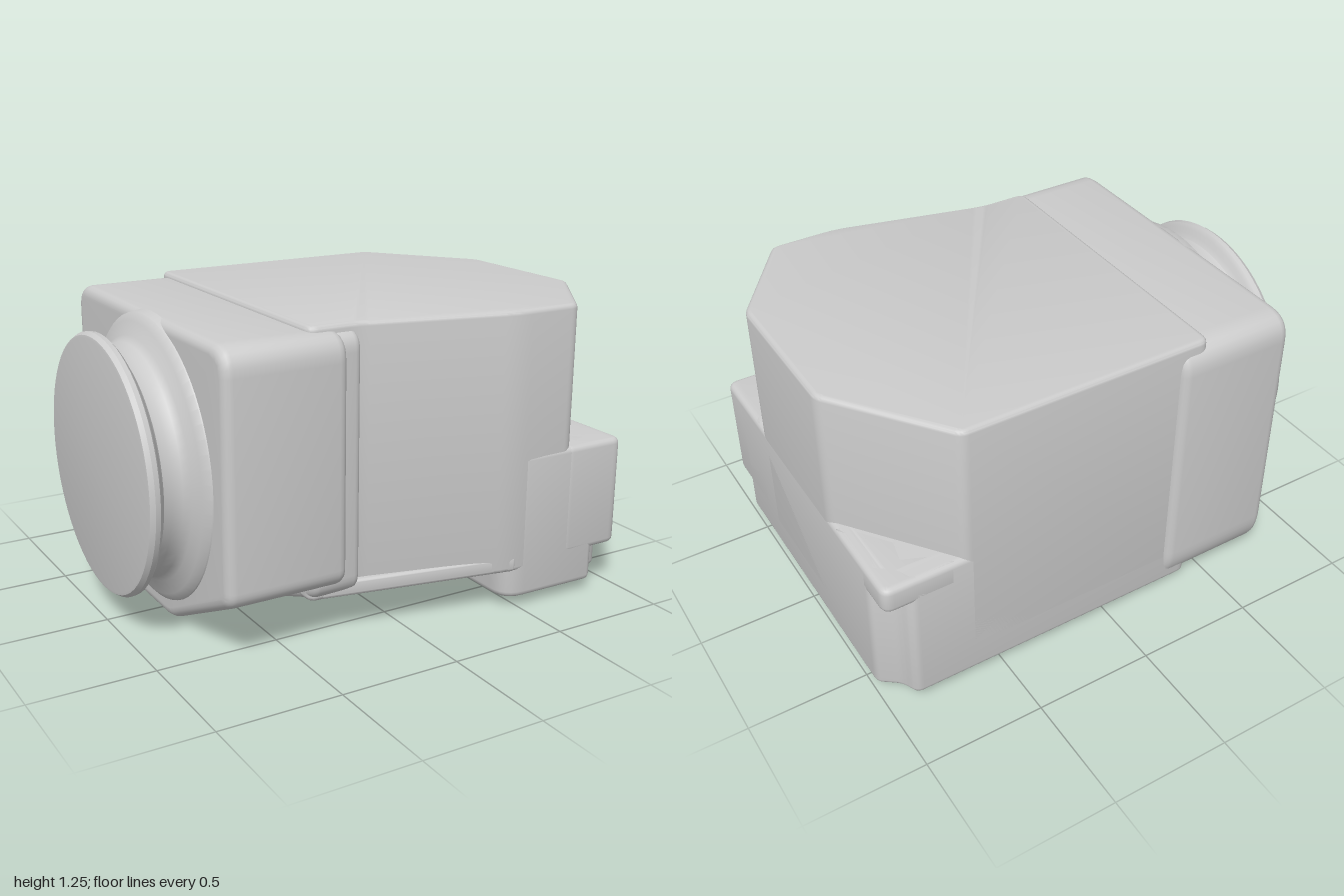
import * as THREE from 'three';
import { toCreasedNormals } from 'three/addons/utils/BufferGeometryUtils.js';

const material = new THREE.MeshStandardMaterial({ color: 0xcccccc });

// Polygon with rounded corners; a third value in a point sets its own radius.
function roundedShape(points, radius) {
  const shape = new THREE.Shape();
  const n = points.length;
  points.forEach((p, i) => {
    const c = new THREE.Vector2(p[0], p[1]);
    const toward = (q) => {
      const d = new THREE.Vector2(q[0], q[1]).sub(c);
      return d.clone().setLength(Math.min(p[2] ?? radius, d.length() * 0.48)).add(c);
    };
    const a = toward(points[(i + n - 1) % n]);
    const b = toward(points[(i + 1) % n]);
    if (i === 0) shape.moveTo(a.x, a.y);
    else shape.lineTo(a.x, a.y);
    shape.quadraticCurveTo(c.x, c.y, b.x, b.y);
  });
  shape.closePath();
  return shape;
}

function extrude(points, length, bevel, radius) {
  return new THREE.ExtrudeGeometry(roundedShape(points, radius), {
    depth: length - 2 * bevel, bevelThickness: bevel, bevelSize: bevel,
    bevelOffset: -bevel, bevelSegments: 4, curveSegments: 6,
  });
}

// Plan outline (x, z) standing between two heights.
function planBlock(points, y0, y1, bevel = 0.025, radius = 0.045) {
  return extrude(points, y1 - y0, bevel, radius).rotateX(Math.PI / 2).translate(0, y1 - bevel, 0);
}

// Side outline (z, y) running between two x positions.
function sideBlock(points, x0, x1, bevel = 0.03, radius = 0.06) {
  return extrude(points, x1 - x0, bevel, radius).rotateY(-Math.PI / 2).translate(x1 - bevel, 0, 0);
}

export function createModel() {
  const model = new THREE.Group();
  const add = (name, geometry) => {
    const mesh = new THREE.Mesh(toCreasedNormals(geometry, 0.6), material);
    mesh.name = name;
    model.add(mesh);
  };

  // Main housing with slanted front and cut upper corners
  add('upperHousing', planBlock([
    [-0.4, -0.73], [0.66, -0.73, 0.03], [1, -0.28, 0.03], [1, 0.35, 0.03],
    [0.72, 0.745, 0.03], [0.44, 0.745, 0.06], [-0.19, 0.59], [-0.4, 0.59],
  ], 0.165, 1.245, 0.02));

  // Lower housing with a foot at the front and notched corners
  add('lowerHousing', planBlock([
    [-0.4, -0.73], [0.89, -0.73, 0.03], [0.92, -0.66, 0.03], [0.965, -0.625, 0.03],
    [1, -0.6, 0.03], [1, 0.63, 0.03], [0.93, 0.655, 0.03], [0.89, 0.69, 0.03],
    [0.87, 0.75, 0.03], [0.42, 0.745, 0.1], [0.42, 0.2, 0.03], [-0.4, 0.2],
  ], 0.045, 0.655));

  // Corner ledges above the notches
  add('backCornerLedge', planBlock([[1, -0.3], [1, -0.73], [0.67, -0.73]], 0.54, 0.655));
  add('frontCornerLedge', planBlock([[1, 0.38], [1, 0.75], [0.7, 0.75]], 0.19, 0.655));

  // Sloping underside, its front edge following the slanted front
  const slope = sideBlock([[0.1, 0.045], [0.2, 0.045], [0.59, 0.17], [0.59, 0.23], [0.1, 0.23]],
    -0.35, 0.47, 0.012, 0.015);
  const pos = slope.attributes.position;
  for (let i = 0; i < pos.count; i++) {
    const z = pos.getZ(i);
    if (z > 0.45) pos.setZ(i, z + 0.235 * Math.max(0, pos.getX(i) + 0.2));
  }
  add('underSlope', slope);

  // Thicker end block and the narrow step joining it to the housing
  add('endBlock', sideBlock([
    [-0.755, 0.12, 0.09], [-0.65, 0, 0.09], [0.12, 0, 0.05], [0.665, 0.26, 0.05],
    [0.665, 1.225, 0.11], [-0.755, 1.225, 0.11],
  ], -0.78, -0.27, 0.04, 0.08));
  add('endStep', sideBlock([
    [-0.72, 0.06], [0.22, 0.05], [0.63, 0.2], [0.63, 1.22, 0.08], [-0.72, 1.22, 0.08],
  ], -0.4, -0.195, 0.03));

  // Round flanged mount on the end
  const profile = [
    [0.585, 0.75], [0.575, 0.785], [0.545, 0.81], [0.49, 0.825], [0.468, 0.85], [0.46, 0.89],
    [0.467, 0.925], [0.485, 0.94], [0.505, 0.947], [0.52, 0.96], [0.522, 0.98], [0.51, 0.998],
    [0.5, 1], [0, 1],
  ].map(([r, h]) => new THREE.Vector2(r, h));
  add('roundMount', new THREE.LatheGeometry(profile, 64).rotateZ(Math.PI / 2).translate(0, 0.648, -0.015));

  return model;
}
